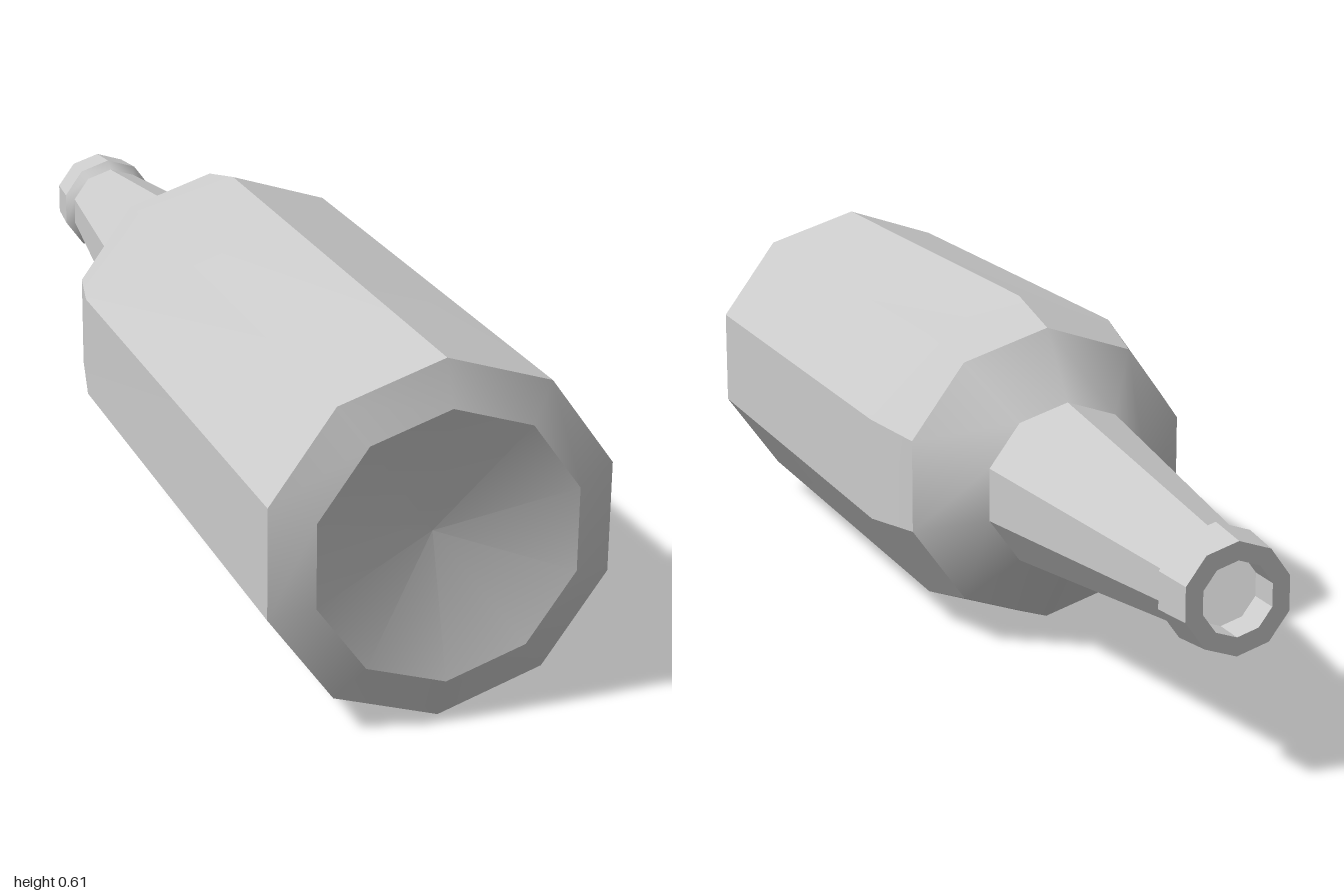
import * as THREE from 'three';
import { toCreasedNormals } from 'three/addons/utils/BufferGeometryUtils.js';

const SIDES = 10;
const RADIUS = 0.3025;
const material = new THREE.MeshStandardMaterial({ color: 0xcccccc });

// Ten-sided ring surface along z from [radius, z] pairs, listed front to back
function turned(name, profile) {
  const points = profile.map(([r, z]) => new THREE.Vector2(r, -z));
  const lathe = new THREE.LatheGeometry(points, SIDES);
  lathe.rotateX(-Math.PI / 2);
  const mesh = new THREE.Mesh(toCreasedNormals(lathe, Math.PI / 6), material);
  mesh.name = name;
  return mesh;
}

export function createModel() {
  const bottle = new THREE.Group();
  bottle.name = 'bottle';

  // Hollowed base, bevelled rim, straight body, taper, shoulder and neck
  bottle.add(turned('bottleBody', [
    [0, 0.93],
    [0.23, 1],
    [RADIUS, 0.97],
    [RADIUS, -0.055],
    [0.27, -0.197],
    [0.155, -0.297],
    [0.086, -0.895],
  ]));

  // Flared lip with a short inner wall at the mouth
  bottle.add(turned('lip', [
    [0.086, -0.895],
    [0.101, -0.915],
    [0.093, -1],
    [0.062, -1],
    [0.062, -0.94],
  ]));

  // Lying on its side, resting on one corner of the body
  bottle.position.y = RADIUS;
  const model = new THREE.Group();
  model.add(bottle);
  return model;
}
